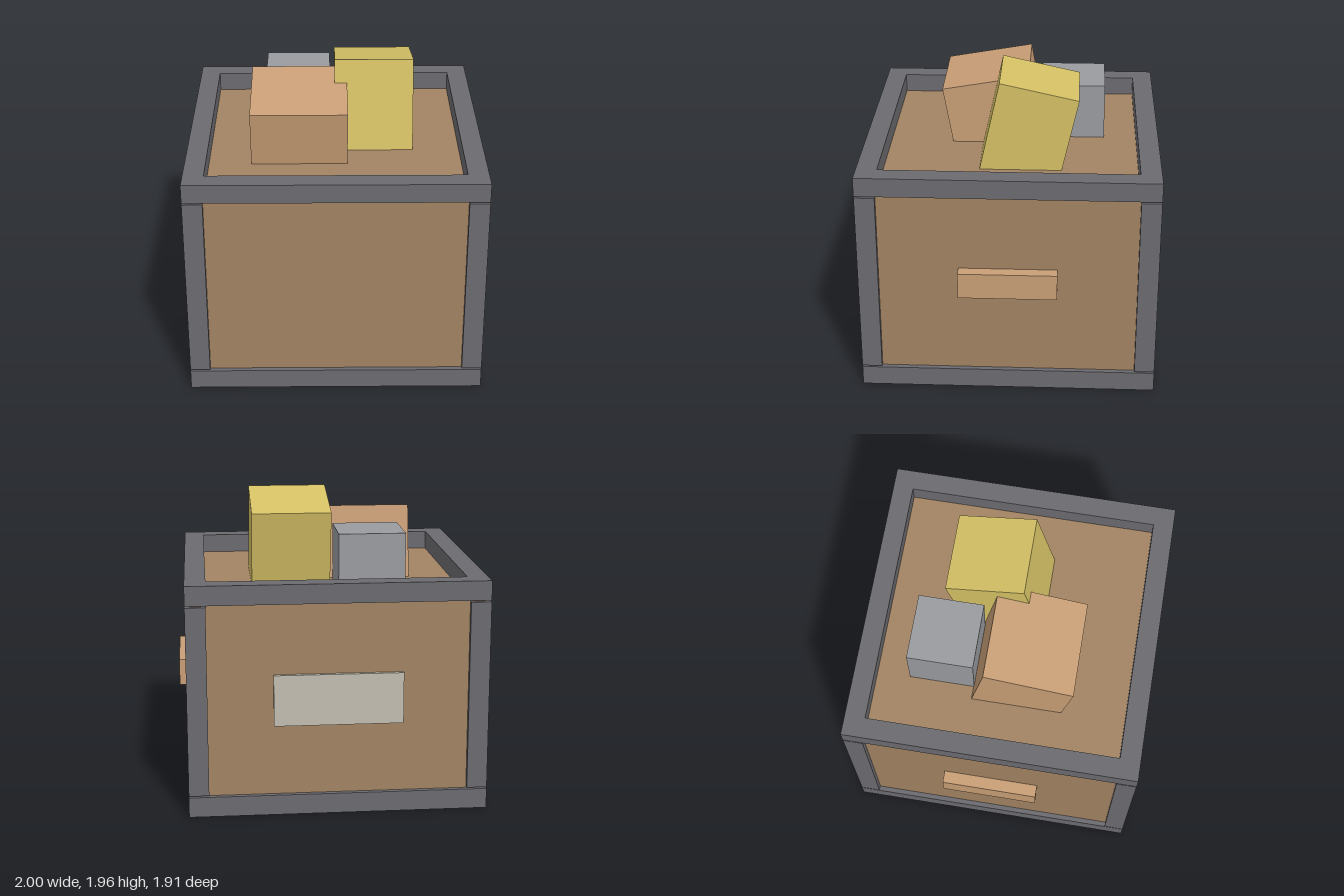
import * as THREE from 'three';

const material = (name, color) => {
  const m = new THREE.MeshStandardMaterial({ color });
  m.name = name;
  return m;
};

export function createModel() {
  const frame = material('dark grey frame', 0x6c6b70);
  const panel = material('brown panel', 0xa28463);
  const tan = material('tan', 0xc99f76);
  const yellow = material('yellow', 0xd5c165);
  const grey = material('grey', 0x9a9ca0);
  const pale = material('pale label', 0xc3beb0);

  const model = new THREE.Group();
  model.name = 'crate';

  // box given by its size and centre, optionally tipped about x
  const box = (name, mat, [w, h, d], [x, y, z], tilt = 0) => {
    const mesh = new THREE.Mesh(new THREE.BoxGeometry(w, h, d), mat);
    mesh.name = name;
    mesh.position.set(x, y, z);
    mesh.rotation.x = tilt;
    model.add(mesh);
  };

  const half = 0.953, beam = 0.133;

  // recessed body and solid base
  box('body', panel, [1.84, 1.27, 1.84], [0, 0.735, 0]);
  box('base', frame, [2 * half, 0.13, 2 * half], [0, 0.065, 0]);

  // open square rim
  const square = (s, path) => path.moveTo(-s, -s).lineTo(s, -s).lineTo(s, s).lineTo(-s, s).closePath();
  const outline = square(half, new THREE.Shape());
  outline.holes.push(square(half - beam, new THREE.Path()));
  const rimGeometry = new THREE.ExtrudeGeometry(outline, { depth: 0.125, bevelEnabled: false });
  rimGeometry.rotateX(-Math.PI / 2).translate(0, 1.37, 0);
  const rim = new THREE.Mesh(rimGeometry, frame);
  rim.name = 'rim';
  model.add(rim);

  // corner posts, leaving a narrow gap above and below
  const post = 0.129;
  for (const sx of [-1, 1]) {
    for (const sz of [-1, 1]) {
      box('cornerPost', frame, [post, 1.22, post], [sx * (half - post / 2), 0.75, sz * (half - post / 2)]);
    }
    // side handles
    box('handle', tan, [0.1, 0.172, 0.63], [sx * 0.95, 0.778, 0]);
  }

  // blank label on the back
  box('label', pale, [0.82, 0.33, 0.04], [0, 0.75, -0.925]);

  // blocks resting in the top
  box('tanBlock', tan, [0.625, 0.58, 0.58], [-0.2325, 1.509, 0.135], 0.1745);
  box('yellowBlock', yellow, [0.515, 0.68, 0.517], [0.257, 1.573, -0.108], -0.217);
  box('greyBlock', grey, [0.43, 0.425, 0.425], [-0.245, 1.5275, -0.3925]);

  return model;
}
